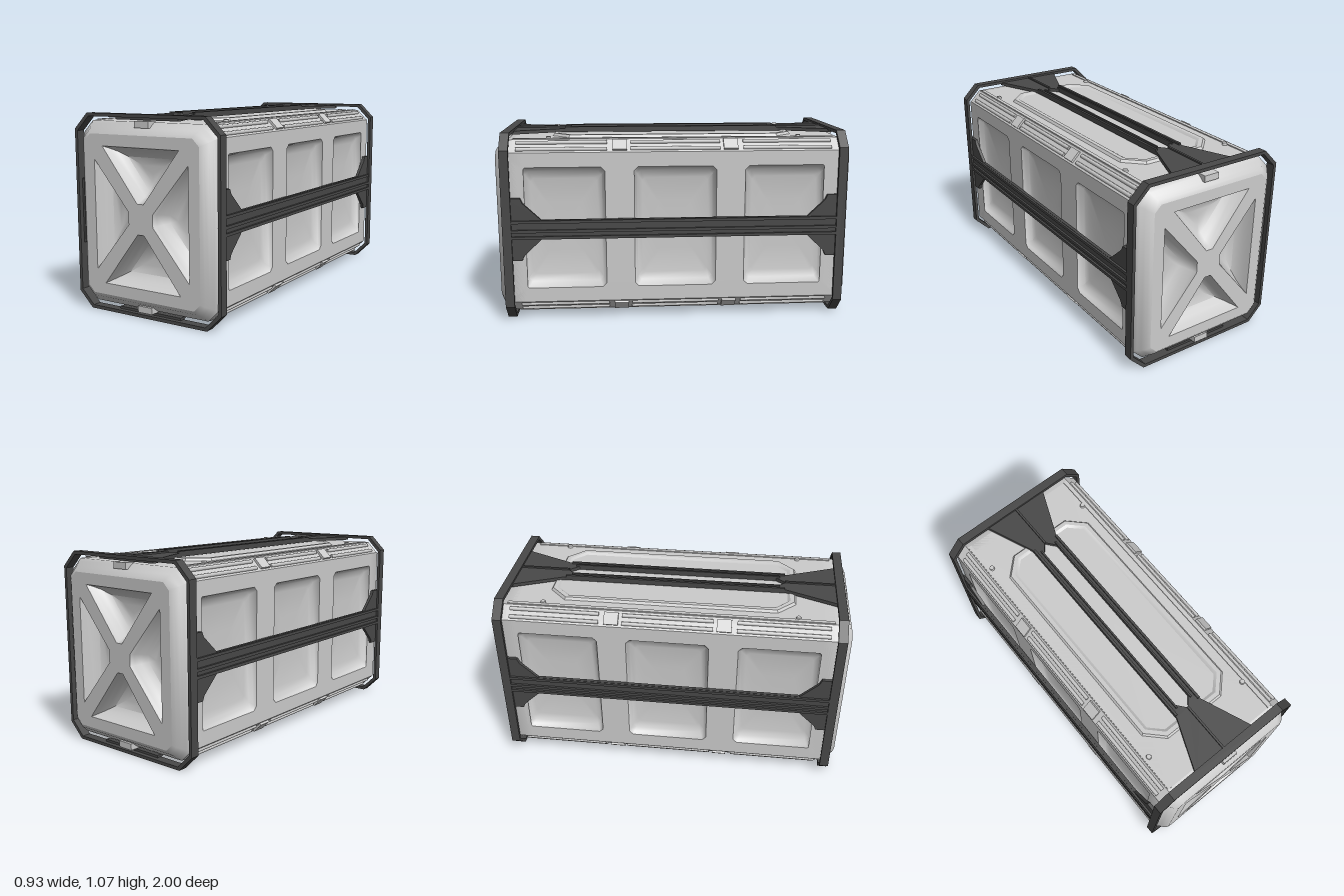
import * as THREE from 'three';
import { toCreasedNormals } from 'three/addons/utils/BufferGeometryUtils.js';

const shellMat = new THREE.MeshStandardMaterial({ color: 0xcccccc });
const frameMat = new THREE.MeshStandardMaterial({ color: 0x484848 });

const CY = 0.533;            // height of the centre
const HX = 0.43, HY = 0.493; // half size of the shell
const CUT = 0.065;           // corner cut of the shell

function add(parent, name, geo, mat = shellMat, x = 0, y = 0, z = 0) {
  const m = new THREE.Mesh(geo, mat);
  m.name = name;
  m.position.set(x, y, z);
  parent.add(m);
  return m;
}

const box = (w, h, d) => new THREE.BoxGeometry(w, h, d);
const vecs = (pts) => pts.map(([x, y]) => new THREE.Vector2(x, y));

// Rectangle with cut corners, counter-clockwise
function octagon(hx, hy, c) {
  return [[hx, c - hy], [hx, hy - c], [hx - c, hy], [c - hx, hy],
    [-hx, hy - c], [-hx, c - hy], [c - hx, -hy], [hx - c, -hy]];
}

function shape(outline, holes = []) {
  const s = new THREE.Shape(vecs(outline));
  for (const h of holes) s.holes.push(new THREE.Path(vecs(h)));
  return s;
}

function plate(outline, holes, depth) {
  return new THREE.ExtrudeGeometry(shape(outline, holes), { depth, bevelEnabled: false });
}

// Skin over successive rings { pts, z }, optionally closed at the last one
function loft(rings, cap, crease = 0.5) {
  const pos = [];
  const n = rings[0].pts.length;
  const at = (i, j) => [...rings[i].pts[j % n], rings[i].z];
  for (let i = 0; i < rings.length - 1; i++) {
    for (let j = 0; j < n; j++) {
      const a = at(i, j), b = at(i, j + 1), c = at(i + 1, j + 1), d = at(i + 1, j);
      pos.push(...a, ...b, ...c, ...a, ...c, ...d);
    }
  }
  if (cap) {
    const last = rings.length - 1;
    const mid = [...centre(rings[last].pts), rings[last].z];
    for (let j = 0; j < n; j++) pos.push(...at(last, j), ...at(last, j + 1), ...mid);
  }
  const g = new THREE.BufferGeometry();
  g.setAttribute('position', new THREE.Float32BufferAttribute(pos, 3));
  return toCreasedNormals(g, crease);
}

function centre(pts) {
  return [0, 1].map((k) => pts.reduce((s, p) => s + p[k], 0) / pts.length);
}

// Sunken pocket: the outline shrinks towards its centre as it gets deeper
function pocket(outline, z, profile, crease) {
  const [cx, cy] = centre(outline);
  return loft(profile.map(([s, d]) => ({
    pts: outline.map(([x, y]) => [cx + (x - cx) * s, cy + (y - cy) * s]), z: z - d,
  })), true, crease);
}

// Solid middle, narrowed where the side pockets sink in
function core() {
  const [w, h, k] = [HX - 0.07, HY - CUT, HY - 0.1];
  const half = [[HX, -h], [HX, -k], [w, -k], [w, k], [HX, k], [HX, h], [HX - CUT, HY]];
  const pts = [...half, [HX - CUT, -HY]];
  const all = [pts[7], ...half];
  const mirrored = all.map(([x, y]) => [-x, y]).reverse();
  return plate([...all, ...mirrored], [], 1.72).translate(0, 0, -0.86);
}

// End cap with a rounded rim and four pockets leaving a cross
function endCap() {
  const g = new THREE.Group();
  const rim = [[0, 0.84], [0, 0.93], [0.015, 0.95], [0.03, 0.967], [0.045, 0.988], [0.065, 1]]
    .map(([inset, z]) => ({ pts: octagon(HX - inset, HY - inset, CUT - inset * 0.4), z }));
  add(g, 'endRim', loft(rim, false, 0.7));
  const top = [[0.02, 0.08], [0.245, 0.366], [-0.245, 0.366], [-0.02, 0.08]];
  const left = [[0.078, -0.033], [0.3, -0.295], [0.3, 0.295], [0.078, 0.033]];
  const turn = (pts) => pts.map(([x, y]) => [-x, -y]);
  const holes = [top, left, turn(top), turn(left)];
  add(g, 'endCross', new THREE.ShapeGeometry(shape(rim[5].pts, holes)), shellMat, 0, 0, 1);
  for (const h of holes) {
    add(g, 'endPocket', pocket(h, 1, [[1, 0], [0.93, 0.025], [0.8, 0.06], [0.6, 0.09], [0.3, 0.11]], 1.2));
  }
  // Small latch at the middle of the upper and lower edge
  for (const s of [-1, 1]) add(g, 'endLatch', box(0.09, 0.035, 0.06), shellMat, 0, s * 0.482, 0.95);
  return g;
}

// Long side: three pockets, corner rails and the dark brace
function longSide() {
  const g = new THREE.Group();
  const holes = [-0.624, 0, 0.624].map((x) => octagon(0.231, 0.346, 0.022).map(([u, v]) => [u + x, v]));
  const h = HY - CUT;
  const wall = [[-0.94, -h], [0.94, -h], [0.94, h], [-0.94, h]];
  add(g, 'sideWall', new THREE.ShapeGeometry(shape(wall, holes)), shellMat, 0, 0, HX);
  for (const p of holes) {
    add(g, 'sidePocket', pocket(p, HX, [[1, 0], [0.97, 0.018], [0.92, 0.04], [0.8, 0.052], [0.4, 0.058]], 0.9));
  }

  // Ribbed strips and clips along the cut corners
  for (const s of [-1, 1]) {
    for (const [x, len] of [[-0.63, 0.5], [0, 0.5], [0.63, 0.5]]) {
      for (const t of [0.25, 0.75]) {
        const rod = new THREE.CylinderGeometry(0.011, 0.011, len, 8).rotateZ(Math.PI / 2);
        add(g, 'cornerStrip', rod, shellMat, x, s * (HY - CUT * t), HX - CUT * (1 - t));
      }
    }
    for (const x of [-0.31, 0.31]) {
      const clip = add(g, 'cornerClip', box(0.08, 0.07, 0.025), shellMat, x, s * (HY - CUT / 2), HX - CUT / 2);
      clip.rotation.x = -s * Math.PI / 4;
    }
  }

  // Brace with a flared gusset at each end
  const q = [[0.75, 0.055], [0.85, 0.15], [0.862, 0.178], [0.94, 0.178]];
  const flip = (pts, a, b) => pts.map(([x, y]) => [x * a, y * b]);
  const brace = [...q, ...flip(q, 1, -1).reverse(), ...flip(q, -1, -1), ...flip(q, -1, 1).reverse()];
  add(g, 'sideBrace', plate(brace, [], 0.018), frameMat, 0, 0, 0.434);
  for (const y of [-0.045, -0.008, 0.045]) {
    add(g, 'sideBraceLip', box(1.84, 0.016, 0.022), frameMat, 0, y, 0.453);
  }
  return g;
}

// Upper or lower face: raised panel, bolts and the dark double brace
function deck() {
  const g = new THREE.Group();
  const panel = [[0, 0.49], [0.012, 0.507], [0.035, 0.507], [0.05, 0.497]]
    .map(([i, z]) => ({ pts: octagon(0.288 - i, 0.695 - i, 0.1 - i * 0.6), z }));
  add(g, 'deckPanel', loft(panel, true));
  for (const a of [-1, 1]) {
    for (const b of [-1, 1]) {
      const bolt = new THREE.CylinderGeometry(0.013, 0.016, 0.016, 12).rotateX(Math.PI / 2);
      add(g, 'deckBolt', bolt, shellMat, a * 0.33, b * 0.705, HY + 0.005);
    }
    add(g, 'deckBraceLip', box(0.014, 1.26, 0.018), frameMat, a * 0.078, 0, 0.523);
    add(g, 'deckBraceLip', box(0.01, 1.2, 0.018), frameMat, a * 0.05, 0, 0.523);
    add(g, 'deckRidge', box(0.012, 0.3, 0.012), frameMat, 0, a * 0.78, 0.525);
    add(g, 'deckEdge', box(0.022, 1.8, 0.012), shellMat, a * 0.35, 0, HY);
  }
  const brace = [[0.085, -0.64], [0.085, 0.64], [0.2, 0.92], [0.2, 0.94],
    [-0.2, 0.94], [-0.2, 0.92], [-0.085, 0.64], [-0.085, -0.64],
    [-0.2, -0.92], [-0.2, -0.94], [0.2, -0.94], [0.2, -0.92]];
  const slot = [[0.045, -0.58], [0.045, 0.58], [0, 0.635], [-0.045, 0.58], [-0.045, -0.58], [0, -0.635]];
  add(g, 'deckBrace', plate(brace, [slot], 0.02), frameMat, 0, 0, 0.502);
  return g;
}

export function createModel() {
  const model = new THREE.Group();
  model.name = 'crate';
  const body = new THREE.Group();
  body.name = 'body';
  body.position.y = CY;
  model.add(body);
  add(body, 'core', core());

  // Cut corners and flat top and bottom join the two ends
  const skin = [-0.9, 0.9].map((z) => ({ pts: octagon(HX, HY, CUT), z }));
  const tube = loft(skin, false).getAttribute('position').array;
  const keep = [];
  for (let j = 0; j < 8; j++) {
    if (j !== 0 && j !== 4) keep.push(...tube.slice(j * 18, j * 18 + 18));
  }
  const skinGeo = new THREE.BufferGeometry();
  skinGeo.setAttribute('position', new THREE.Float32BufferAttribute(keep, 3));
  skinGeo.computeVertexNormals();
  add(body, 'skin', skinGeo);

  for (const s of [1, -1]) {
    const end = endCap();
    end.name = s > 0 ? 'frontEnd' : 'backEnd';
    end.rotation.y = s > 0 ? 0 : Math.PI;
    const side = longSide();
    side.name = s > 0 ? 'leftSide' : 'rightSide';
    side.rotation.y = s * Math.PI / 2;
    const face = deck();
    face.name = s > 0 ? 'top' : 'bottom';
    face.rotation.x = -s * Math.PI / 2;
    body.add(end, side, face);

    // Dark ring around each end
    const ring = plate(octagon(0.465, CY, 0.087), [octagon(0.447, CY - 0.018, 0.079)], 0.05);
    add(body, 'frameRing', ring, frameMat, 0, 0, s * 0.94 - 0.025);
  }
  return model;
}
